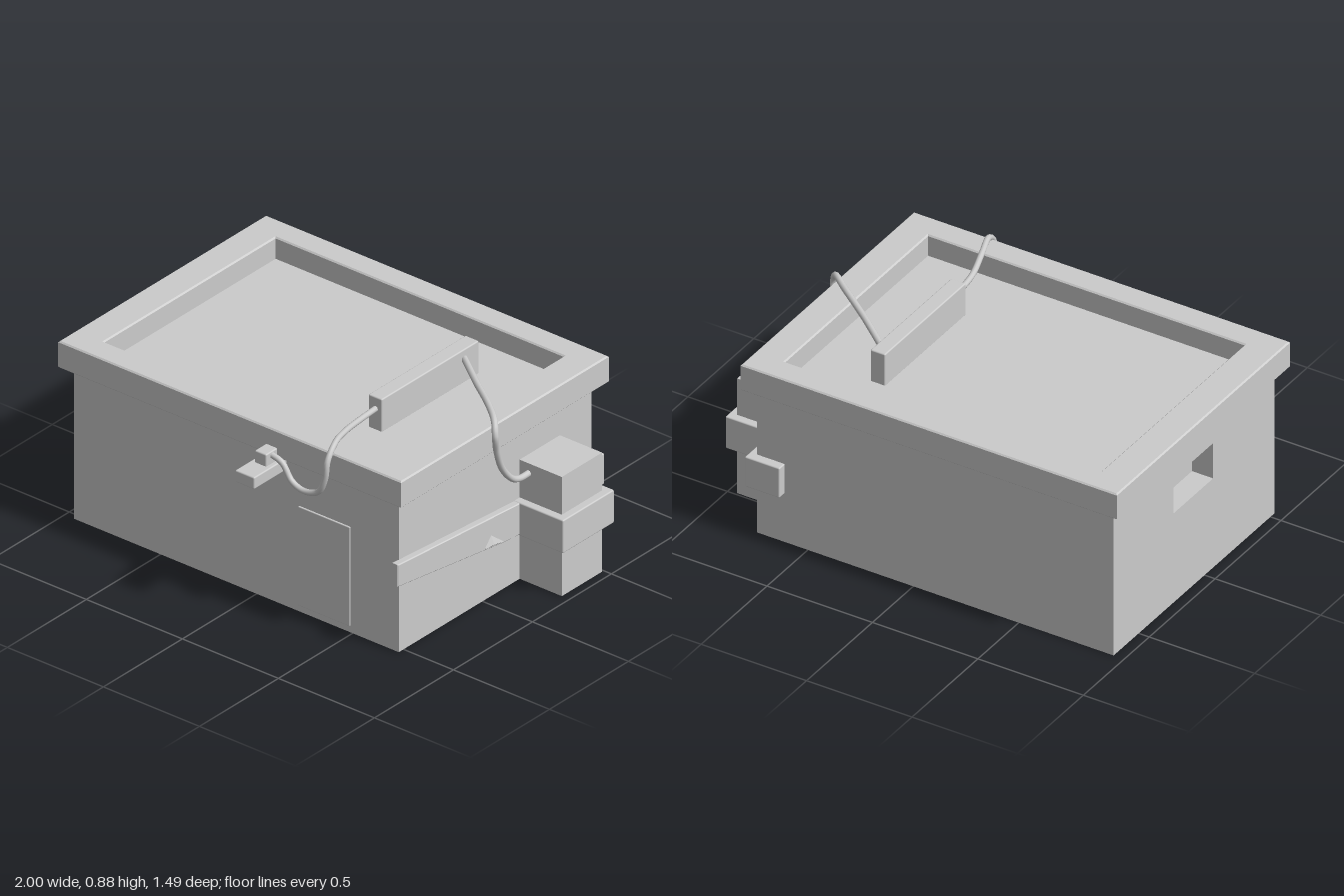
import * as THREE from 'three';
import { RoundedBoxGeometry } from 'three/addons/geometries/RoundedBoxGeometry.js';
import { ConvexGeometry } from 'three/addons/geometries/ConvexGeometry.js';

const solid = new THREE.MeshStandardMaterial({ color: 0xcccccc });
const flat = new THREE.MeshStandardMaterial({ color: 0xcccccc, flatShading: true });
const sheet = new THREE.MeshStandardMaterial({ color: 0xcccccc, side: THREE.DoubleSide });

export function createModel() {
  const model = new THREE.Group();

  const add = (name, geometry, material = solid) => {
    const mesh = new THREE.Mesh(geometry, material);
    mesh.name = name;
    model.add(mesh);
    return mesh;
  };
  // Block with slightly softened edges, given by its extents
  const block = (name, x0, x1, y0, y1, z0, z1, r = 0.006) =>
    add(name, new RoundedBoxGeometry(x1 - x0, y1 - y0, z1 - z0, 2, r))
      .position.set((x0 + x1) / 2, (y0 + y1) / 2, (z0 + z1) / 2);
  // Thin-walled box; skipped faces are numbered +x, -x, +y, -y, +z, -z
  const shell = (name, x0, x1, y0, y1, z0, z1, skip) => {
    const g = new THREE.BoxGeometry(x1 - x0, y1 - y0, z1 - z0);
    const old = Array.from(g.index.array);
    g.setIndex(old.filter((_, i) => !skip.includes(Math.floor(i / 6))));
    g.clearGroups();
    g.translate((x0 + x1) / 2, (y0 + y1) / 2, (z0 + z1) / 2);
    return add(name, g, sheet);
  };
  const rect = (Type, x0, x1, y0, y1) => new Type([
    new THREE.Vector2(x0, y0), new THREE.Vector2(x1, y0),
    new THREE.Vector2(x1, y1), new THREE.Vector2(x0, y1),
  ]);
  const cable = (name, points, radius) => {
    const curve = new THREE.CatmullRomCurve3(points.map((p) => new THREE.Vector3(...p)));
    add(name, new THREE.TubeGeometry(curve, 64, radius, 10), sheet);
  };

  // Hollow body, open below, with a hand hole in its -x wall
  shell('bodyWalls', -0.95, 0.74, 0, 0.71, -0.69, 0.53, [1, 2, 3]);
  const sideWall = rect(THREE.Shape, -0.69, 0.53, 0, 0.71);
  sideWall.holes.push(rect(THREE.Path, -0.235, 0.065, 0.43, 0.6));
  const sideGeometry = new THREE.ShapeGeometry(sideWall);
  sideGeometry.rotateY(-Math.PI / 2);
  sideGeometry.translate(-0.95, 0, 0);
  add('handHoleWall', sideGeometry, sheet);
  shell('handHolePocket', -0.95, -0.85, 0.43, 0.6, -0.235, 0.065, [1]);

  // Overhanging lid frame with a sunken tray
  const bevel = 0.006;
  const frame = rect(THREE.Shape, -1, 0.785, -0.57, 0.745);
  frame.holes.push(rect(THREE.Path, -0.855, 0.645, -0.455, 0.63));
  const frameGeometry = new THREE.ExtrudeGeometry(frame, {
    depth: 0.125 - 2 * bevel, bevelThickness: bevel, bevelSize: bevel,
    bevelOffset: -bevel, bevelSegments: 1,
  });
  frameGeometry.rotateX(-Math.PI / 2);
  frameGeometry.translate(0, 0.7 + bevel, 0);
  add('lidFrame', frameGeometry);
  const tray = new THREE.PlaneGeometry(1.51, 1.095);
  tray.rotateX(-Math.PI / 2);
  tray.translate(-0.105, 0.725, -0.0875);
  add('trayFloor', tray, sheet);

  // Bar lying in the tray
  block('trayBar', 0.29, 0.36, 0.72, 0.875, -0.44, 0.175);

  // Thin panel on the front
  block('frontPanel', 0.22, 0.49, 0.03, 0.49, 0.525, 0.537, 0.004);

  // Stepped bracket on the front
  block('bracketLower', 0.06, 0.16, 0.635, 0.69, 0.53, 0.74);
  block('bracketUpper', 0.08, 0.14, 0.68, 0.745, 0.55, 0.64);

  // Side box, open below, and the band around it
  shell('sideBox', 0.74, 0.96, 0, 0.553, -0.49, -0.235, [1, 3]);
  block('boxBand', 0.735, 0.995, 0.225, 0.378, -0.525, -0.2);
  block('bandCornerWrap', 0.61, 0.775, 0.232, 0.376, -0.73, -0.51);

  // Sloping strap along the side, with a small fold
  const strap = new THREE.Shape([
    [-0.57, 0.33], [0.12, 0.235], [0.21, 0.23], [0.21, 0.375], [-0.57, 0.432],
  ].map(([x, y]) => new THREE.Vector2(x, y)));
  const strapGeometry = new THREE.ExtrudeGeometry(strap, {
    depth: 0.026, bevelThickness: 0.004, bevelSize: 0.004, bevelOffset: -0.004, bevelSegments: 1,
  });
  strapGeometry.rotateY(Math.PI / 2);
  strapGeometry.translate(0.739, 0, 0);
  add('strap', strapGeometry);
  add('strapFold', new ConvexGeometry([
    [0.765, 0.26, 0.03], [0.785, 0.27, -0.02], [0.766, 0.315, -0.02],
    [0.765, 0.238, -0.12], [0.755, 0.26, -0.03],
  ].map((p) => new THREE.Vector3(...p))), flat);

  // Cables from the bar to the bracket and to the side box
  cable('frontCable', [
    [0.12, 0.73, 0.6], [0.19, 0.71, 0.6], [0.24, 0.643, 0.6], [0.3, 0.62, 0.6],
    [0.38, 0.645, 0.603], [0.418, 0.72, 0.605], [0.423, 0.8, 0.595], [0.408, 0.85, 0.53],
    [0.375, 0.845, 0.43], [0.34, 0.825, 0.3], [0.325, 0.82, 0.16],
  ], 0.013);
  cable('sideCable', [
    [0.33, 0.83, -0.37], [0.37, 0.833, -0.34], [0.53, 0.845, -0.215], [0.7, 0.853, -0.09],
    [0.79, 0.845, -0.015], [0.815, 0.8, 0.01], [0.805, 0.72, -0.01], [0.793, 0.61, -0.06],
    [0.788, 0.53, -0.13], [0.786, 0.508, -0.18], [0.786, 0.507, -0.25],
  ], 0.014);

  return model;
}
